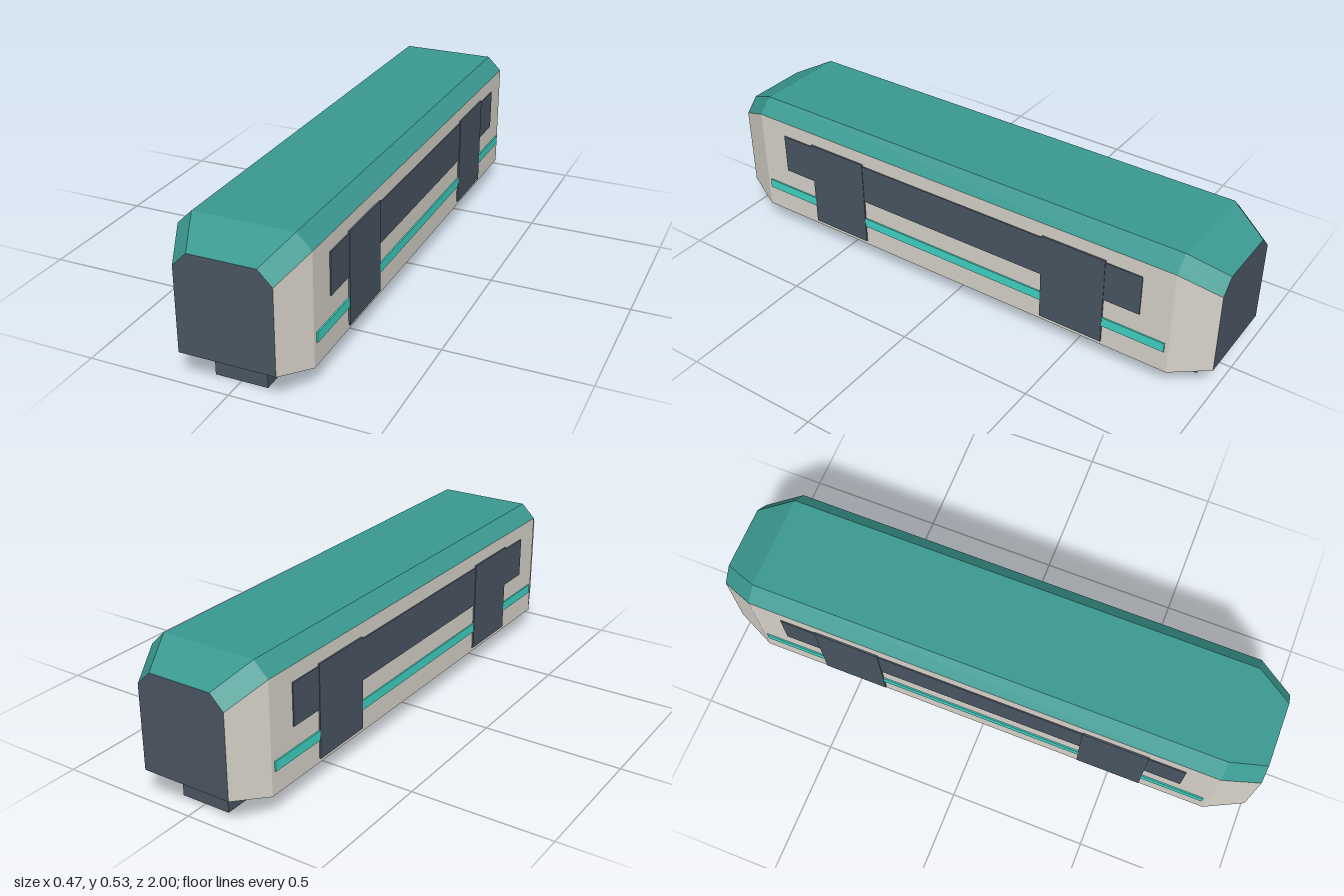
import * as THREE from 'three';

const material = (name, color) => new THREE.MeshStandardMaterial({ name, color });

// Six-cornered body section, counter-clockwise seen from the front
function section(z, halfWidth, bottom, shoulder, halfRoof, top) {
  return [
    [-halfWidth, bottom], [halfWidth, bottom], [halfWidth, shoulder],
    [halfRoof, top], [-halfRoof, top], [-halfWidth, shoulder],
  ].map(([x, y]) => [x, y, z]);
}

// Flat-faced geometry from convex polygons
function facets(polygons) {
  const positions = [];
  for (const p of polygons) {
    for (let i = 1; i < p.length - 1; i++) positions.push(...p[0], ...p[i], ...p[i + 1]);
  }
  const geometry = new THREE.BufferGeometry();
  geometry.setAttribute('position', new THREE.Float32BufferAttribute(positions, 3));
  geometry.computeVertexNormals();
  return geometry;
}

export function createModel() {
  const slate = material('slate', 0x4a5663);
  const cream = material('cream', 0xd8d4cb);
  const teal = material('teal', 0x3a9990);
  const aqua = material('aqua', 0x40d4c4);

  const model = new THREE.Group();
  model.name = 'monorailCar';

  const add = (name, geometry, mat, x = 0, y = 0, z = 0) => {
    const mesh = new THREE.Mesh(geometry, mat);
    mesh.name = name;
    mesh.position.set(x, y, z);
    model.add(mesh);
  };

  // Body shell with tapered ends
  const end = [0.167, 0.11, 0.41, 0.117, 0.46];
  const middle = [0.227, 0.077, 0.476, 0.175, 0.527];
  const rings = [
    section(-1, ...end), section(-0.865, ...middle),
    section(0.865, ...middle), section(1, ...end),
  ];
  const band = (edges) => facets(edges.flatMap((i) => [0, 1, 2].map((r) => {
    const j = (i + 1) % 6;
    return [rings[r][i], rings[r][j], rings[r + 1][j], rings[r + 1][i]];
  })));
  add('underside', band([0]), slate);
  add('sideWalls', band([1, 5]), cream);
  add('roof', band([2, 3, 4]), teal);
  add('frontWindow', facets([rings[3]]), slate);
  add('backWindow', facets([[...rings[0]].reverse()]), slate);

  // Guide beam below the body
  add('guideBeam', new THREE.BoxGeometry(0.184, 0.085, 1.834), slate, 0, 0.0425, 0);

  // Thin plates on both side walls
  const plate = (name, mat, side, depth, y0, y1, z0, z1) => add(
    name, new THREE.BoxGeometry(depth, y1 - y0, z1 - z0), mat,
    side * (0.227 + depth / 2), (y0 + y1) / 2, (z0 + z1) / 2,
  );
  for (const side of [-1, 1]) {
    const label = side > 0 ? 'left' : 'right';
    plate(label + 'WindowBand', slate, side, 0.004, 0.27, 0.42, -0.753, 0.753);
    plate(label + 'Stripe', aqua, side, 0.005, 0.16, 0.195, -0.85, 0.85);
    plate(label + 'FrontDoor', slate, side, 0.006, 0.093, 0.428, 0.38, 0.62);
    plate(label + 'BackDoor', slate, side, 0.006, 0.093, 0.428, -0.62, -0.38);
  }
  return model;
}
